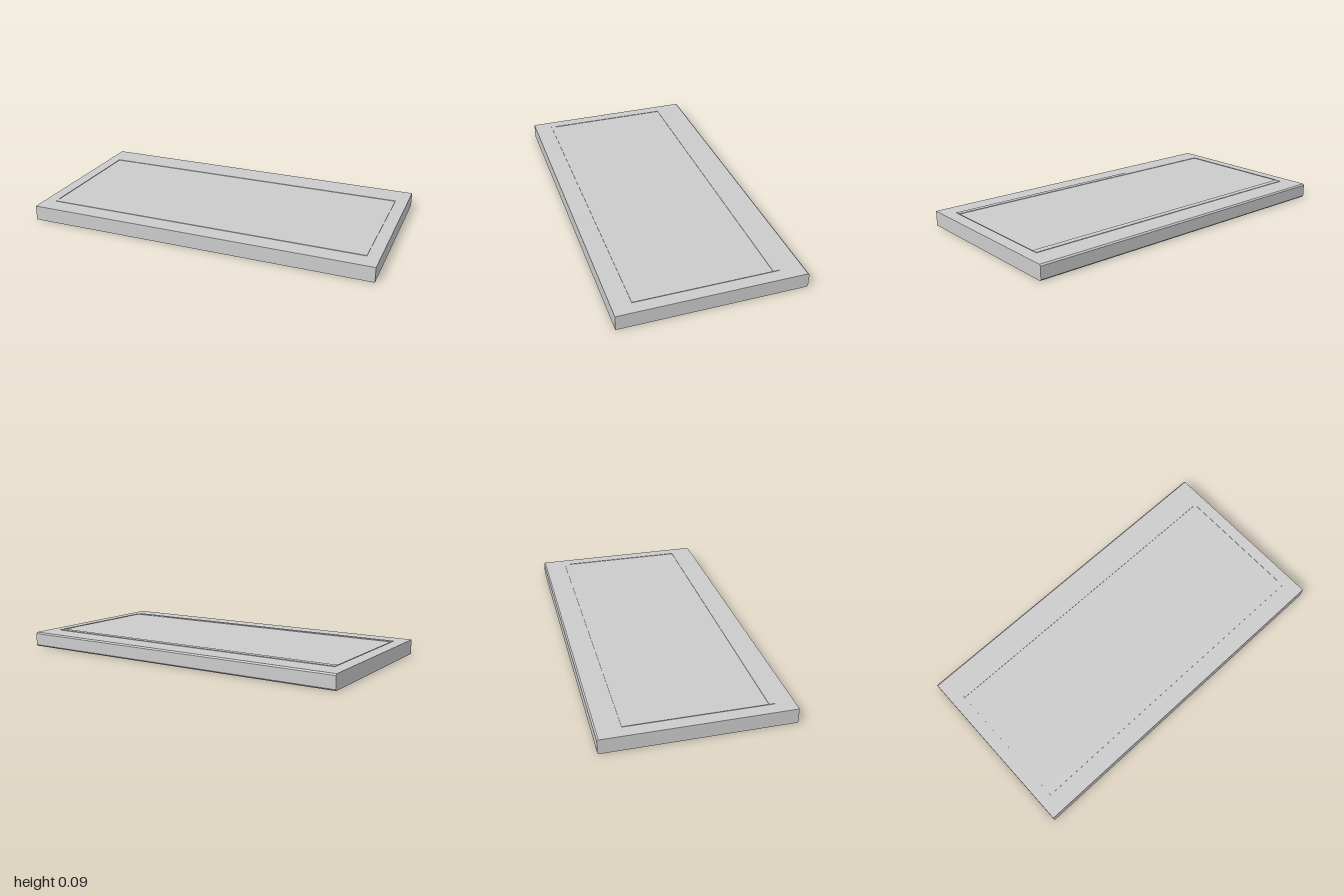
import * as THREE from 'three';

const material = new THREE.MeshStandardMaterial({
  color: 0xcccccc, flatShading: true, side: THREE.DoubleSide,
});

// Thin folded sheet: a [z, y] profile swept along x from -halfLength to halfLength
function foldedSheet(profile, halfLength) {
  const positions = [];
  for (let i = 0; i < profile.length - 1; i++) {
    const [z0, y0] = profile[i];
    const [z1, y1] = profile[i + 1];
    const a = [-halfLength, y0, z0], b = [halfLength, y0, z0];
    const c = [halfLength, y1, z1], d = [-halfLength, y1, z1];
    positions.push(...a, ...b, ...c, ...a, ...c, ...d);
  }
  const geometry = new THREE.BufferGeometry();
  geometry.setAttribute('position', new THREE.Float32BufferAttribute(positions, 3));
  geometry.computeVertexNormals();
  return geometry;
}

// Flat end plate with a [z, y] outline, facing outward at the given x
function endPlate(outline, x) {
  const side = Math.sign(x);
  const shape = new THREE.Shape(outline.map(([z, y]) => new THREE.Vector2(-side * z, y)));
  return new THREE.ShapeGeometry(shape).rotateY(side * Math.PI / 2).translate(x, 0, 0);
}

export function createModel() {
  const model = new THREE.Group();
  model.name = 'panel';
  const add = (name, geometry) => {
    const mesh = new THREE.Mesh(geometry, material);
    mesh.name = name;
    model.add(mesh);
  };

  const top = 0.085, raised = 0.088, low = 0.02;

  // Outer shell, open underneath, with a bevelled back edge
  const shell = [
    [0.515, 0], [0.515, top], [-0.507, top],
    [-0.515, top - 0.008], [-0.515, 0.008], [-0.507, 0],
  ];
  add('shell', foldedSheet(shell, 1));

  // Inner frame rails, whose flanges stand just proud of the top
  add('frontRail', foldedSheet([[0.41, low], [0.41, raised], [0.38, raised], [0.38, top]], 0.93));
  add('backRail', foldedSheet([[-0.345, top], [-0.345, raised], [-0.38, raised], [-0.38, low]], 0.93));

  // End walls of the shell and of the inner frame
  const frameEnd = [[0.41, low], [0.41, raised], [-0.38, raised], [-0.38, low]];
  for (const [label, side] of [['left', 1], ['right', -1]]) {
    add(label + 'Wall', endPlate(shell, side));
    add(label + 'FrameEnd', endPlate(frameEnd, side * 0.93));
  }
  return model;
}
